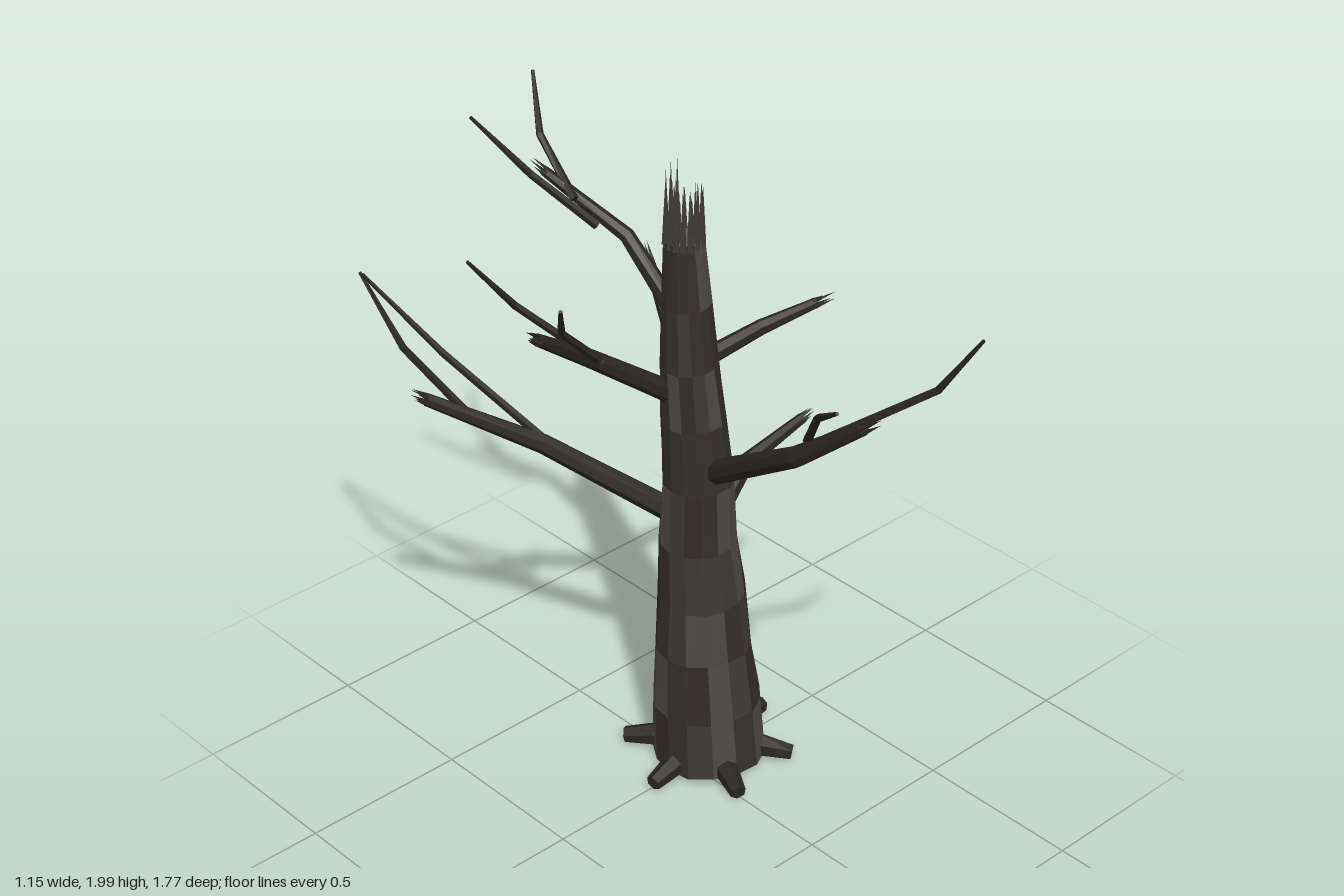
import * as THREE from 'three';
import { mergeGeometries } from 'three/addons/utils/BufferGeometryUtils.js';

const V = (p) => new THREE.Vector3(...p);
const material = (color) => new THREE.MeshStandardMaterial({ color, flatShading: true });
const barkTones = [0x342f2c, 0x332c27, 0x3d3937, 0x4c4845].map(material);
const branchBark = material(0x2a2624);
const heartwood = material(0x5a5651);
const ember = material(0xb8561f);

let seed = 7;
function rand() {
  seed = (seed * 16807) % 2147483647;
  return seed / 2147483647;
}

function named(name, geometry, mat) {
  const mesh = new THREE.Mesh(geometry, mat);
  mesh.name = name;
  return mesh;
}

function fromTriangles(points) {
  const g = new THREE.BufferGeometry().setFromPoints(points);
  g.computeVertexNormals();
  return g;
}

// Rings of points around a path, one ring for each path point
function ringsAlong(path, radii, sides, rough = 0) {
  return path.map((p, i) => {
    const d = path[Math.min(i + 1, path.length - 1)].clone().sub(path[Math.max(i - 1, 0)]).normalize();
    const ref = Math.abs(d.z) > 0.9 ? new THREE.Vector3(1, 0, 0) : new THREE.Vector3(0, 0, 1);
    const u = ref.cross(d).normalize();
    const v = d.clone().cross(u);
    return Array.from({ length: sides }, (_, j) => {
      const a = (j / sides) * Math.PI * 2;
      const r = radii[i] * (1 + rough * (rand() * 2 - 1));
      return p.clone().addScaledVector(u, Math.cos(a) * r).addScaledVector(v, Math.sin(a) * r);
    });
  });
}

// Side quads go to the list chosen by pick(); the ends are closed with fans
function skin(rings, pick, capList) {
  const n = rings[0].length;
  for (let i = 0; i < rings.length - 1; i++) {
    for (let j = 0; j < n; j++) {
      const k = (j + 1) % n;
      const a = rings[i][j], b = rings[i][k], c = rings[i + 1][k], d = rings[i + 1][j];
      pick(i, j).push(a, b, c, a, c, d);
    }
  }
  const first = rings[0], last = rings[rings.length - 1];
  for (let j = 1; j < n - 1; j++) {
    capList.push(first[0], first[j + 1], first[j], last[0], last[j], last[j + 1]);
  }
}

function limb(points, radii, sides) {
  const tris = [];
  skin(ringsAlong(points.map(V), radii, sides), () => tris, tris);
  return fromTriangles(tris);
}

function spike(base, dir, length, radius) {
  const g = new THREE.ConeGeometry(radius, length, 4).translate(0, length / 2, 0);
  g.applyQuaternion(new THREE.Quaternion().setFromUnitVectors(new THREE.Vector3(0, 1, 0), dir));
  return g.translate(base.x, base.y, base.z);
}

// Ring of splinters around a broken end
function splinters(center, dir, ringRadius, count, minLength, maxLength, radius) {
  const q = new THREE.Quaternion().setFromUnitVectors(new THREE.Vector3(0, 1, 0), dir);
  const cones = [];
  for (let i = 0; i < count; i++) {
    const a = (i / count) * Math.PI * 2;
    const offset = new THREE.Vector3(Math.cos(a), 0, Math.sin(a)).multiplyScalar(ringRadius).applyQuaternion(q);
    const length = minLength + rand() * (maxLength - minLength);
    cones.push(spike(center.clone().add(offset), dir, length, radius));
  }
  return mergeGeometries(cones);
}

// Trunk rings: x, y, z, radius
const trunkRings = [
  [0.085, 0.015, -0.015, 0.165], [0.085, 0.2, -0.027, 0.157], [0.08, 0.4, -0.035, 0.139],
  [0.07, 0.58, -0.035, 0.127], [0.054, 0.77, -0.033, 0.111], [0.052, 0.97, -0.03, 0.102],
  [0.037, 1.17, -0.033, 0.091], [0.026, 1.35, -0.037, 0.082], [0.015, 1.54, -0.038, 0.07],
  [0.004, 1.74, -0.037, 0.056],
];

// Each branch: main path, start radius, twig paths
const branches = [
  { name: 'leftLowBranch', r: 0.031, path: [[0.1, 0.76, -0.04], [0.3, 0.89, -0.09], [0.5, 0.96, -0.07]], twigs: [] },
  {
    name: 'frontBranch', r: 0.037, path: [[0.05, 1.01, 0.02], [-0.06, 1.31, 0.46], [-0.045, 1.49, 0.68]],
    twigs: [
      [[-0.02, 1.34, 0.46], [-0.2, 1.58, 0.67], [-0.34, 1.74, 0.87]],
      [[-0.03, 1.34, 0.48], [0.14, 1.56, 0.76], [0.16, 1.75, 0.885]],
    ],
  },
  {
    name: 'backRightBranch', r: 0.036, path: [[0.02, 0.84, -0.08], [-0.22, 1.04, -0.37], [-0.46, 1.19, -0.58]],
    twigs: [
      [[-0.22, 1.06, -0.38], [-0.35, 1.27, -0.64], [-0.44, 1.46, -0.87]],
      [[-0.36, 1.13, -0.53], [-0.455, 1.31, -0.68], [-0.44, 1.46, -0.88]],
    ],
  },
  {
    name: 'rightBranch', r: 0.033, path: [[0.01, 1.24, -0.05], [-0.26, 1.44, -0.11], [-0.5, 1.62, -0.045]],
    twigs: [
      [[-0.29, 1.47, -0.04], [-0.47, 1.66, -0.17], [-0.595, 1.82, -0.2]],
      [[-0.36, 1.54, 0.03], [-0.5, 1.68, 0.05], [-0.59, 1.82, 0.155]],
    ],
  },
  { name: 'leftFrontBranch', r: 0.028, path: [[0.05, 1.35, -0.02], [0.2, 1.43, 0.06], [0.33, 1.49, 0.14]], twigs: [] },
  { name: 'leftBackBranch', r: 0.03, path: [[0.07, 1.13, -0.06], [0.17, 1.3, -0.27], [0.235, 1.43, -0.43]], twigs: [] },
  {
    name: 'topBackBranch', r: 0.028, path: [[0.02, 1.46, -0.06], [0.01, 1.65, -0.27], [-0.105, 1.81, -0.47]],
    twigs: [
      [[-0.06, 1.69, -0.31], [-0.17, 1.83, -0.45], [-0.28, 1.995, -0.56]],
      [[-0.08, 1.75, -0.38], [-0.06, 1.88, -0.54], [0.03, 1.995, -0.67]],
    ],
  },
];

export function createModel() {
  const model = new THREE.Group();
  model.name = 'deadTree';

  // Trunk in patches of differing bark
  const trunk = new THREE.Group();
  trunk.name = 'trunk';
  const patches = barkTones.map(() => []);
  const rings = ringsAlong(trunkRings.map(([x, y, z]) => V([x, y, z])), trunkRings.map((t) => t[3]), 14, 0.035);
  const caps = [];
  skin(rings, () => patches[Math.min(3, Math.floor(rand() * 4.2))], caps);
  patches.forEach((tris, i) => trunk.add(named('barkPatches' + (i + 1), fromTriangles(tris), barkTones[i])));
  trunk.add(named('trunkEnds', fromTriangles(caps), heartwood));
  model.add(trunk);

  // Splintered crown of the broken trunk
  const up = new THREE.Vector3(0, 1, 0);
  const crown = [
    splinters(V([0.004, 1.72, -0.037]), up, 0.05, 16, 0.1, 0.23, 0.012),
    splinters(V([0.004, 1.72, -0.037]), up, 0.03, 7, 0.06, 0.2, 0.01),
  ];
  model.add(named('brokenCrown', mergeGeometries(crown), barkTones[2]));

  // Six stubby roots
  for (let i = 0; i < 6; i++) {
    const a = ((-7 + i * 60) * Math.PI) / 180;
    const at = (r, y) => [0.085 + Math.cos(a) * r, y, -0.02 + Math.sin(a) * r];
    model.add(named('root', limb([at(0.02, 0.04), at(0.16, 0.044), at(0.25, 0.03)], [0.026, 0.035, 0.024], 6), branchBark));
  }

  // Branches with twigs and splintered ends
  for (const { name, r, path, twigs } of branches) {
    const branch = new THREE.Group();
    branch.name = name;
    branch.add(named('branchLimb', limb(path, [r, r * 0.8, r * 0.52], 7), branchBark));
    const end = V(path[2]);
    const dir = end.clone().sub(V(path[1])).normalize();
    branch.add(named('brokenTip', splinters(end.addScaledVector(dir, -0.008), dir, r * 0.36, 6, 0.03, 0.075, 0.006), branchBark));
    for (const t of twigs) branch.add(named('twig', limb(t, [0.013, 0.011, 0.005], 5), branchBark));
    model.add(branch);
  }

  // Glowing crack in the bark
  const crack = new THREE.OctahedronGeometry(1).scale(0.012, 0.075, 0.013).rotateX(-0.12).rotateZ(0.09);
  model.add(named('emberCrack', crack.translate(0.217, 0.375, -0.01), ember));

  return model;
}
